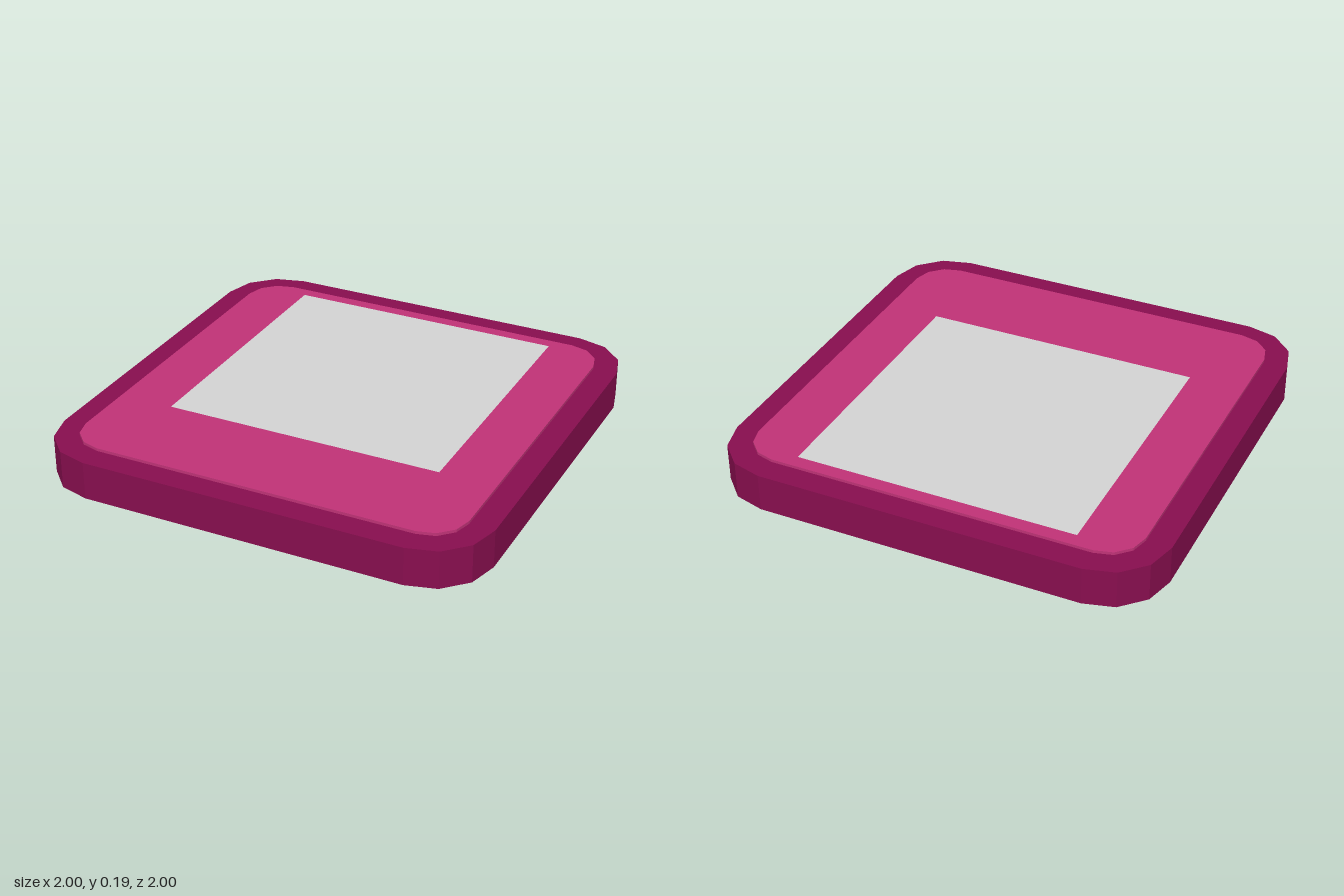
import * as THREE from 'three';

// Rounded square with three flat facets per corner
function roundedSquare(half, radius) {
  const points = [], c = half - radius;
  for (let corner = 0; corner < 4; corner++) {
    const cx = (corner === 0 || corner === 3) ? c : -c;
    const cy = corner < 2 ? c : -c;
    for (let i = 0; i <= 3; i++) {
      const a = (corner + i / 3) * Math.PI / 2;
      points.push(new THREE.Vector2(cx + radius * Math.cos(a), cy + radius * Math.sin(a)));
    }
  }
  return new THREE.Shape(points);
}

// Upright prism without its bottom face, so it is an open shell underneath
function openPrism(shape, height) {
  const prism = new THREE.ExtrudeGeometry(shape, { depth: height, bevelEnabled: false });
  const skip = prism.groups[0].count / 2;
  const shell = new THREE.BufferGeometry();
  shell.setAttribute('position', new THREE.BufferAttribute(prism.attributes.position.array.slice(skip * 3), 3));
  shell.rotateX(-Math.PI / 2);
  shell.computeVertexNormals();
  return shell;
}

export function createModel() {
  const group = new THREE.Group();
  const material = (name, color, side = THREE.FrontSide) => {
    const m = new THREE.MeshStandardMaterial({ color, side });
    m.name = name;
    return m;
  };
  const add = (name, geometry, mat, y, z = 0) => {
    const mesh = new THREE.Mesh(geometry, mat);
    mesh.name = name;
    mesh.position.set(0, y, z);
    group.add(mesh);
  };

  const darkMagenta = material('darkMagenta', 0x880e4f, THREE.DoubleSide);
  const magenta = material('magenta', 0xc03277);
  const lightGrey = material('lightGrey', 0xd4d4d4);

  // Hollow tray, open below
  add('baseShell', openPrism(roundedSquare(1, 0.27), 0.172), darkMagenta, 0);

  // Raised panel on top
  add('topPanel', openPrism(roundedSquare(0.89, 0.16), 0.013), magenta, 0.172);

  // Grey square, set towards the back
  add('greySquare', new THREE.PlaneGeometry(1.274, 1.274).rotateX(-Math.PI / 2), lightGrey, 0.187, -0.193);

  return group;
}
